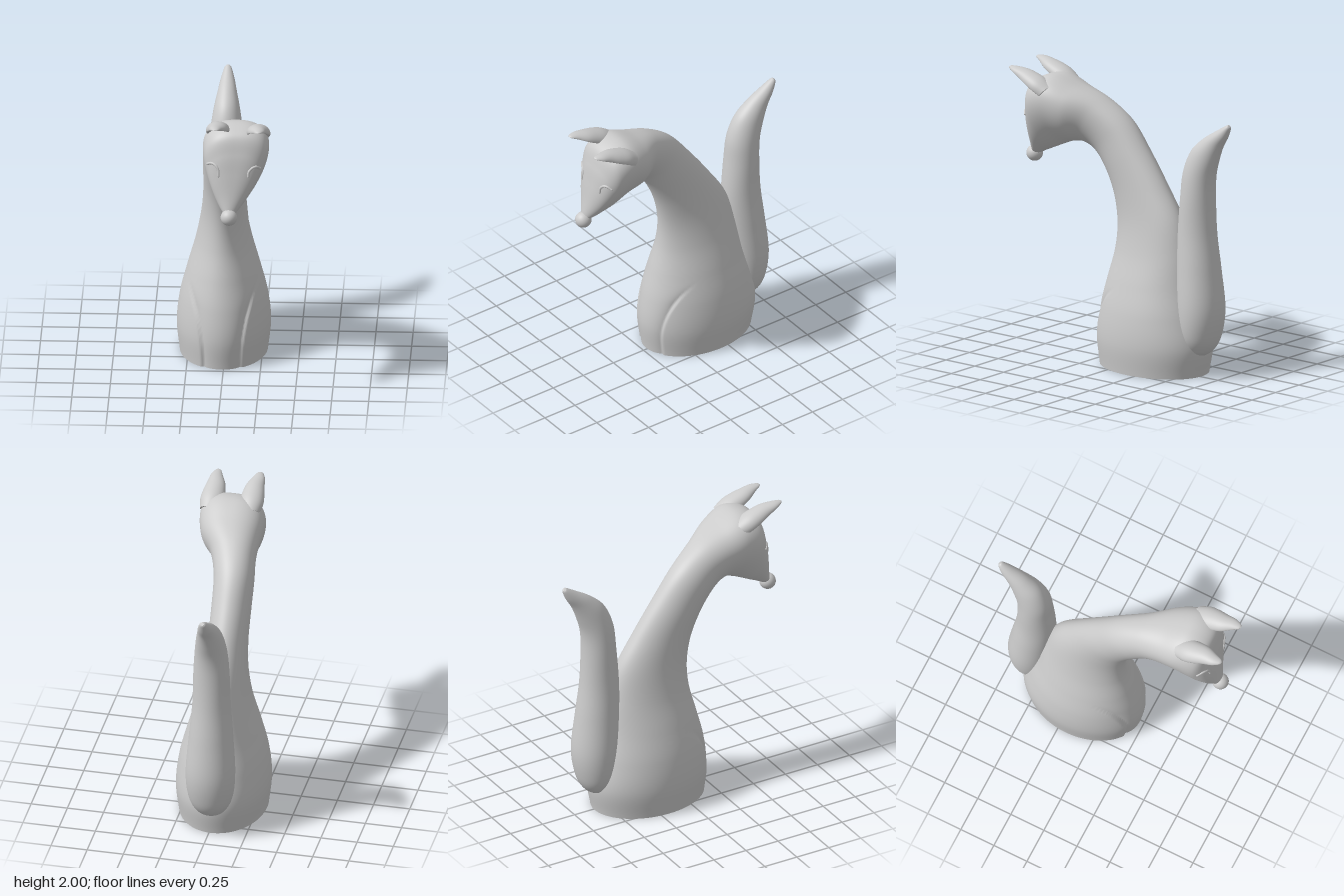
import * as THREE from 'three';

const material = new THREE.MeshStandardMaterial({ color: 0xcccccc });

// Smooth skin through rings. Each row: zFront, yFront, zBack, yBack,
// xFront, xBack, halfWidth, skew (<1 = widest near the back), squareness exponent.
function loft(name, rows, rings, sides, adjust) {
  const curve = (f) => new THREE.CatmullRomCurve3(rows.map(f), false, 'catmullrom', 0.5);
  const front = curve((r) => new THREE.Vector3(r[4], r[1], r[0]));
  const back = curve((r) => new THREE.Vector3(r[5], r[3], r[2]));
  const shape = curve((r) => new THREE.Vector3(r[6], r[7] ?? 1, r[8] ?? 1));
  const pos = [], index = [];
  const q = new THREE.Vector3();
  for (let i = 0; i <= rings; i++) {
    const u = i / rings;
    const a = front.getPoint(u), b = back.getPoint(u), s = shape.getPoint(u);
    for (let j = 0; j < sides; j++) {
      const t = (j / sides) * Math.PI * 2, sin = Math.sin(t);
      const p = Math.pow(0.5 - 0.5 * Math.cos(t), s.y);
      q.lerpVectors(a, b, p);
      q.x += Math.sign(sin) * Math.pow(Math.abs(sin), s.z) * s.x;
      if (adjust) adjust(q, t, a, b, s);
      pos.push(q.x, q.y, q.z);
    }
  }
  for (let i = 0; i < rings; i++) {
    for (let j = 0; j < sides; j++) {
      const k = (j + 1) % sides, c = i * sides, d = c + sides;
      index.push(c + j, c + k, d + k, c + j, d + k, d + j);
    }
  }
  // end caps on their own vertices, so their edges stay sharp
  for (const ring of [0, rings]) {
    const start = pos.length / 3, mid = [0, 0, 0];
    for (let j = 0; j < sides; j++) {
      for (let n = 0; n < 3; n++) {
        const v = pos[(ring * sides + j) * 3 + n];
        pos.push(v);
        mid[n] += v / sides;
      }
    }
    pos.push(...mid);
    for (let j = 0; j < sides; j++) {
      const k = start + ((j + 1) % sides);
      if (ring === 0) index.push(start + sides, k, start + j);
      else index.push(start + sides, start + j, k);
    }
  }
  const geometry = new THREE.BufferGeometry();
  geometry.setAttribute('position', new THREE.Float32BufferAttribute(pos, 3));
  geometry.setIndex(index);
  geometry.computeVertexNormals();
  const mesh = new THREE.Mesh(geometry, material);
  mesh.name = name;
  return mesh;
}

// Curved step that marks the edge of each haunch
function haunchCrease(q, t, a, b, s) {
  if (q.y > 0.56 || a.y > 0.7) return;
  const angle = t > Math.PI ? Math.PI * 2 - t : t;
  const edge = 0.125 + 0.105 * Math.pow(q.y / 0.55, 2.2);
  const d = (angle - Math.asin(Math.min(1, edge / s.x))) * 0.32;
  const fade = Math.min(1, (0.56 - q.y) / 0.15);
  const depth = 0.015 * fade * (d < 0 ? Math.exp(d / 0.04) : Math.exp(-((d / 0.01) ** 2)));
  q.x -= Math.sin(t) * depth;
  q.z -= Math.cos(t) * depth;
}

// Hollow on the forward face of an ear
function earHollow(q, t, a, b) {
  const c = Math.cos(t);
  if (c > 0) q.addScaledVector(b.clone().sub(a), 0.6 * c * c);
}

export function createModel() {
  const group = new THREE.Group();

  // Body, neck and head in one skin
  const body = loft('bodyNeckAndHead', [
    [0.22, 0, -0.60, 0, -0.012, -0.012, 0.297],
    [0.24, 0.2, -0.63, 0.2, -0.012, -0.012, 0.317],
    [0.215, 0.4, -0.59, 0.4, -0.012, -0.012, 0.297],
    [0.165, 0.6, -0.535, 0.6, -0.012, -0.012, 0.247],
    [0.115, 0.8, -0.49, 0.82, -0.012, -0.012, 0.188],
    [0.105, 0.98, -0.42, 1.05, -0.012, -0.012, 0.15],
    [0.135, 1.16, -0.29, 1.26, -0.012, -0.012, 0.134],
    [0.2, 1.32, -0.13, 1.485, -0.01, -0.012, 0.133],
    [0.28, 1.435, 0.025, 1.675, 0.0, -0.005, 0.138, 0.95, 0.95],
    [0.36, 1.485, 0.2, 1.8, 0.03, 0.03, 0.155, 0.85, 0.9],
    [0.43, 1.487, 0.38, 1.88, 0.07, 0.085, 0.2, 0.75, 0.85],
    [0.51, 1.457, 0.55, 1.94, 0.075, 0.11, 0.222, 0.65, 0.8],
    [0.58, 1.425, 0.685, 1.895, 0.075, 0.115, 0.212, 0.65, 0.75],
    [0.635, 1.4, 0.735, 1.765, 0.07, 0.105, 0.175, 0.7, 0.75],
    [0.69, 1.375, 0.76, 1.63, 0.065, 0.09, 0.13, 0.75, 0.8],
    [0.74, 1.35, 0.782, 1.49, 0.06, 0.075, 0.075, 0.9, 0.9],
    [0.775, 1.335, 0.8, 1.39, 0.06, 0.062, 0.035],
  ], 170, 192, haunchCrease);
  group.add(body);

  // Upright tail
  group.add(loft('tail', [
    [-0.55, 0.14, -0.61, 0.14, -0.01, -0.01, 0.03],
    [-0.50, 0.19, -0.68, 0.19, -0.01, -0.01, 0.1],
    [-0.46, 0.3, -0.73, 0.29, -0.01, -0.01, 0.15],
    [-0.44, 0.48, -0.757, 0.48, -0.01, -0.01, 0.168],
    [-0.43, 0.75, -0.73, 0.75, -0.01, -0.01, 0.15],
    [-0.43, 1.0, -0.70, 1.0, -0.01, -0.01, 0.13],
    [-0.45, 1.25, -0.69, 1.25, -0.01, -0.01, 0.122],
    [-0.47, 1.43, -0.70, 1.4, -0.01, -0.01, 0.11],
    [-0.53, 1.575, -0.735, 1.52, -0.01, -0.01, 0.09],
    [-0.63, 1.67, -0.775, 1.62, -0.01, -0.01, 0.066],
    [-0.74, 1.74, -0.82, 1.695, -0.01, -0.01, 0.045],
    [-0.815, 1.785, -0.845, 1.755, -0.01, -0.01, 0.024],
    [-0.835, 1.79, -0.848, 1.775, -0.01, -0.01, 0.01],
  ], 80, 48));

  // Ears: the head leans, so the left one sits a little lower
  for (const [name, x, tip, dy] of [['rightEar', -0.02, -0.03, 0], ['leftEar', 0.25, 0.26, -0.015]]) {
    const ear = loft(name, [
      [0.58, 1.80, 0.5, 1.90, x, x, 0.07],
      [0.63, 1.83, 0.57, 1.945, x, x, 0.082],
      [0.69, 1.865, 0.64, 1.972, x, x, 0.076],
      [0.75, 1.905, 0.71, 1.99, x, x, 0.062],
      [0.80, 1.945, 0.78, 1.998, tip, tip, 0.042],
      [0.835, 1.972, 0.83, 1.996, tip, tip, 0.022],
      [0.846, 1.982, 0.846, 1.99, tip, tip, 0.008],
    ], 32, 40, earHollow);
    ear.position.y = dy;
    group.add(ear);
  }

  // Nose
  const nose = new THREE.Mesh(new THREE.SphereGeometry(0.056, 32, 20), material);
  nose.name = 'nose';
  nose.position.set(0.06, 1.338, 0.793);
  group.add(nose);

  // Closed, smiling eyes laid onto the face
  const ray = new THREE.Raycaster();
  const onFace = (x, y) => {
    ray.set(new THREE.Vector3(x, y, 2), new THREE.Vector3(0, 0, -1));
    const hit = ray.intersectObject(body)[0];
    return new THREE.Vector3(x, y, hit ? hit.point.z : 0.72);
  };
  const eyes = [
    ['rightEye', [[-0.088, 1.685], [-0.06, 1.7], [-0.03, 1.688], [-0.014, 1.658], [-0.012, 1.62]]],
    ['leftEye', [[0.188, 1.618], [0.192, 1.65], [0.212, 1.674], [0.24, 1.682], [0.265, 1.664]]],
  ];
  for (const [name, points] of eyes) {
    const path = new THREE.CatmullRomCurve3(points.map(([x, y]) => onFace(x, y)));
    const eye = new THREE.Group();
    eye.name = name;
    eye.add(new THREE.Mesh(new THREE.TubeGeometry(path, 32, 0.009, 10), material));
    for (const end of [0, 1]) {
      const tip = new THREE.Mesh(new THREE.SphereGeometry(0.009, 10, 8), material);
      tip.position.copy(path.getPoint(end));
      eye.add(tip);
    }
    group.add(eye);
  }
  return group;
}
